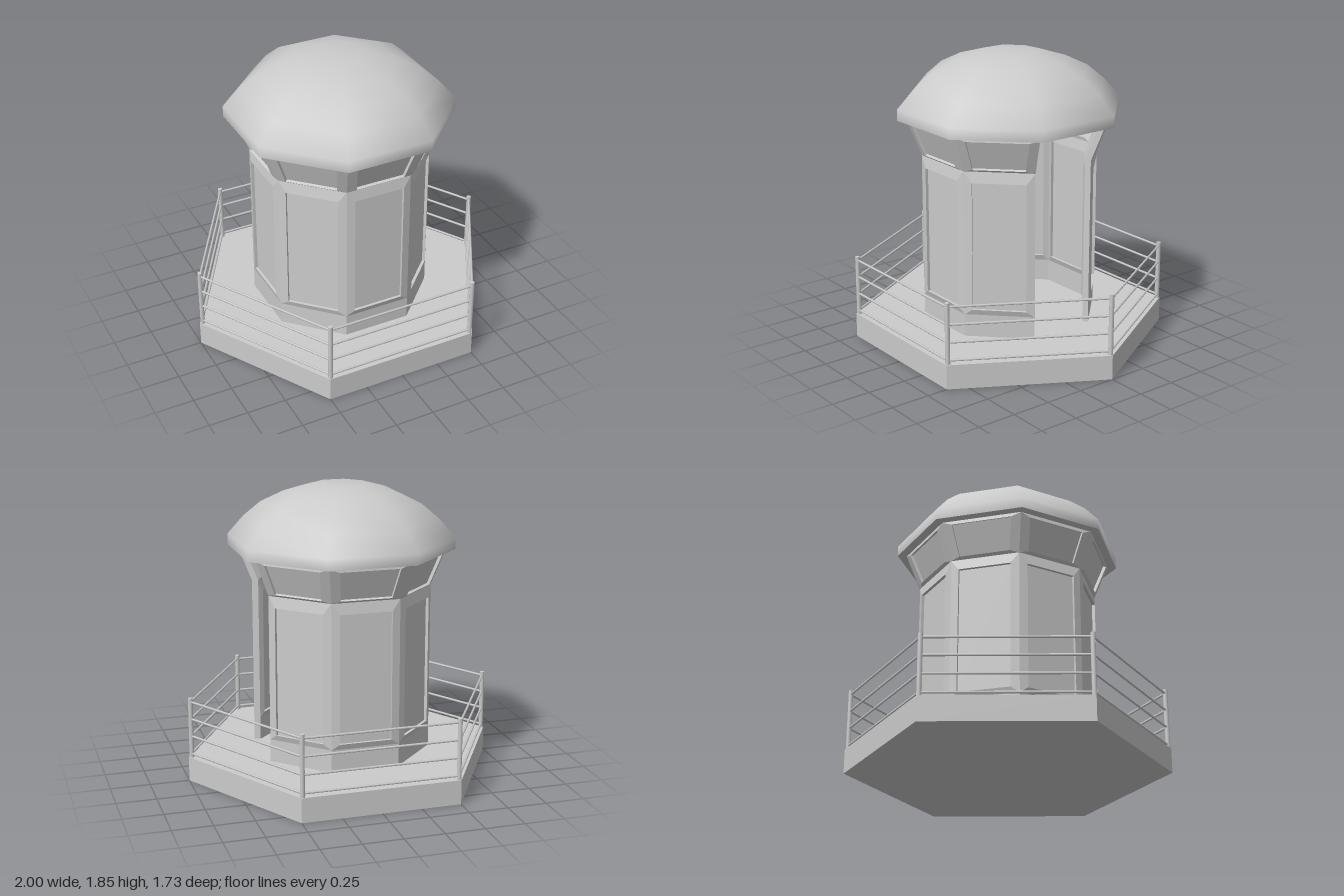
import * as THREE from 'three';

const mat = new THREE.MeshStandardMaterial({ color: 0xcccccc, flatShading: true });
const smoothMat = new THREE.MeshStandardMaterial({ color: 0xcccccc });
const TAN = Math.tan(Math.PI / 8);
const THICK = 0.037, RAISE = 0.012, RECESS = 0.019;

// Wall profile from the ground up: [y, distance of the face from the axis]
const PROFILE = [[0, 0.523], [0.3, 0.523], [1.22, 0.523], [1.45, 0.608]];
// Framed panels per band: [bottom y, top y, bottom half width, top half width]
const PANELS = { 1: [0.336, 1.15, 0.165, 0.165], 2: [1.238, 1.43, 0.16, 0.19] };

function mesh(name, geometry, material = mat) {
  const m = new THREE.Mesh(geometry, material);
  m.name = name;
  return m;
}

function quadBuilder() {
  const pos = [];
  return {
    quad(a, b, c, d) {
      for (const p of [a, b, c, a, c, d]) pos.push(p.x, p.y, p.z);
    },
    build() {
      const g = new THREE.BufferGeometry();
      g.setAttribute('position', new THREE.Float32BufferAttribute(pos, 3));
      g.computeVertexNormals();
      return g;
    },
  };
}

// One octagon side facing +z; openEnd (+1, -1 or 0) closes the edge at the doorway
function wallGeometry(openEnd) {
  const q = quadBuilder();
  const v = (x, y, z) => new THREE.Vector3(x, y, z);
  for (let i = 0; i < PROFILE.length - 1; i++) {
    const [y0, r0] = PROFILE[i], [y1, r1] = PROFILE[i + 1];
    // s = 1 is the outside skin, s = -1 the inside skin
    for (const s of [1, -1]) {
      const off = s > 0 ? 0 : THICK;
      const point = (x, y) => v(x * s, y, r0 + (r1 - r0) * (y - y0) / (y1 - y0) - off);
      const w0 = (r0 - off) * TAN, w1 = (r1 - off) * TAN;
      const outer = [point(-w0, y0), point(w0, y0), point(w1, y1), point(-w1, y1)];
      const panel = PANELS[i];
      if (!panel) {
        q.quad(...outer);
        continue;
      }
      // The frame slopes up to a raised rim, then drops to the sunken pane
      const [b, t, wb, wt] = panel;
      const n = outer[1].clone().sub(outer[0]).cross(outer[3].clone().sub(outer[0])).normalize();
      const rim = [point(-wb, b), point(wb, b), point(wt, t), point(-wt, t)]
        .map((p) => p.addScaledVector(n, RAISE));
      const pane = rim.map((p) => p.clone().addScaledVector(n, -RECESS));
      for (let k = 0; k < 4; k++) {
        const j = (k + 1) % 4;
        q.quad(outer[k], outer[j], rim[j], rim[k]);
        q.quad(rim[k], rim[j], pane[j], pane[k]);
      }
      q.quad(...pane);
    }
    if (openEnd) {
      const edge = (r, y) => v(openEnd * r * TAN, y, r);
      const cap = [edge(r0, y0), edge(r0 - THICK, y0), edge(r1 - THICK, y1), edge(r1, y1)];
      q.quad(...(openEnd > 0 ? cap : cap.reverse()));
    }
  }
  // Foot of the wall, flush with the underside of the deck
  const [y, r] = PROFILE[0], ri = r - THICK;
  q.quad(v(-ri * TAN, y, ri), v(ri * TAN, y, ri), v(r * TAN, y, r), v(-r * TAN, y, r));
  return q.build();
}

// Hexagonal railing with a post at each corner and four bars per side
function createRailing() {
  const railing = new THREE.Group();
  railing.name = 'railing';
  const R = 0.98;
  const postGeo = new THREE.CylinderGeometry(0.015, 0.015, 0.545, 8);
  const barGeo = new THREE.CylinderGeometry(0.0075, 0.0075, R, 6);
  barGeo.rotateZ(Math.PI / 2);
  for (let i = 0; i < 6; i++) {
    const a = i * Math.PI / 3;
    const post = mesh('railingPost', postGeo, smoothMat);
    post.position.set(R * Math.cos(a), 0.2725, R * Math.sin(a));
    railing.add(post);

    const side = new THREE.Group();
    side.name = 'railingSide';
    side.rotation.y = a;
    for (const y of [0.18, 0.295, 0.408, 0.52]) {
      const bar = mesh('railingBar', barGeo, smoothMat);
      bar.position.set(0, y, R * Math.cos(Math.PI / 6));
      side.add(bar);
    }
    railing.add(side);
  }
  return railing;
}

export function createModel() {
  const model = new THREE.Group();
  model.name = 'watchBooth';

  // Hexagonal deck with corners on the x axis
  const deck = mesh('deck', new THREE.CylinderGeometry(1, 1, 0.156, 6, 1, false, Math.PI / 6));
  deck.position.y = 0.078;
  model.add(deck, createRailing());

  // Seven of eight walls; the +x side is the open doorway
  const walls = new THREE.Group();
  walls.name = 'walls';
  for (let i = 0; i < 8; i++) {
    if (i === 2) continue;
    const wall = mesh('wall', wallGeometry(i === 1 ? 1 : i === 3 ? -1 : 0));
    wall.rotation.y = i * Math.PI / 4;
    walls.add(wall);
  }
  model.add(walls);

  // Eight-sided domed roof, profile given at the middle of each side
  const k = 1 / Math.cos(Math.PI / 8);
  const dome = [[0.662, 1.45], [0.662, 1.52], [0.567, 1.638], [0.465, 1.73], [0.33, 1.8], [0.162, 1.85], [0, 1.85]]
    .map(([r, y]) => new THREE.Vector2(r * k, y));
  model.add(mesh('roofDome', new THREE.LatheGeometry(dome, 8, Math.PI / 8), smoothMat));
  const ceiling = new THREE.CircleGeometry(0.662 * k, 8, Math.PI / 8);
  ceiling.rotateX(Math.PI / 2);
  ceiling.translate(0, 1.45, 0);
  model.add(mesh('roofUnderside', ceiling));

  return model;
}
